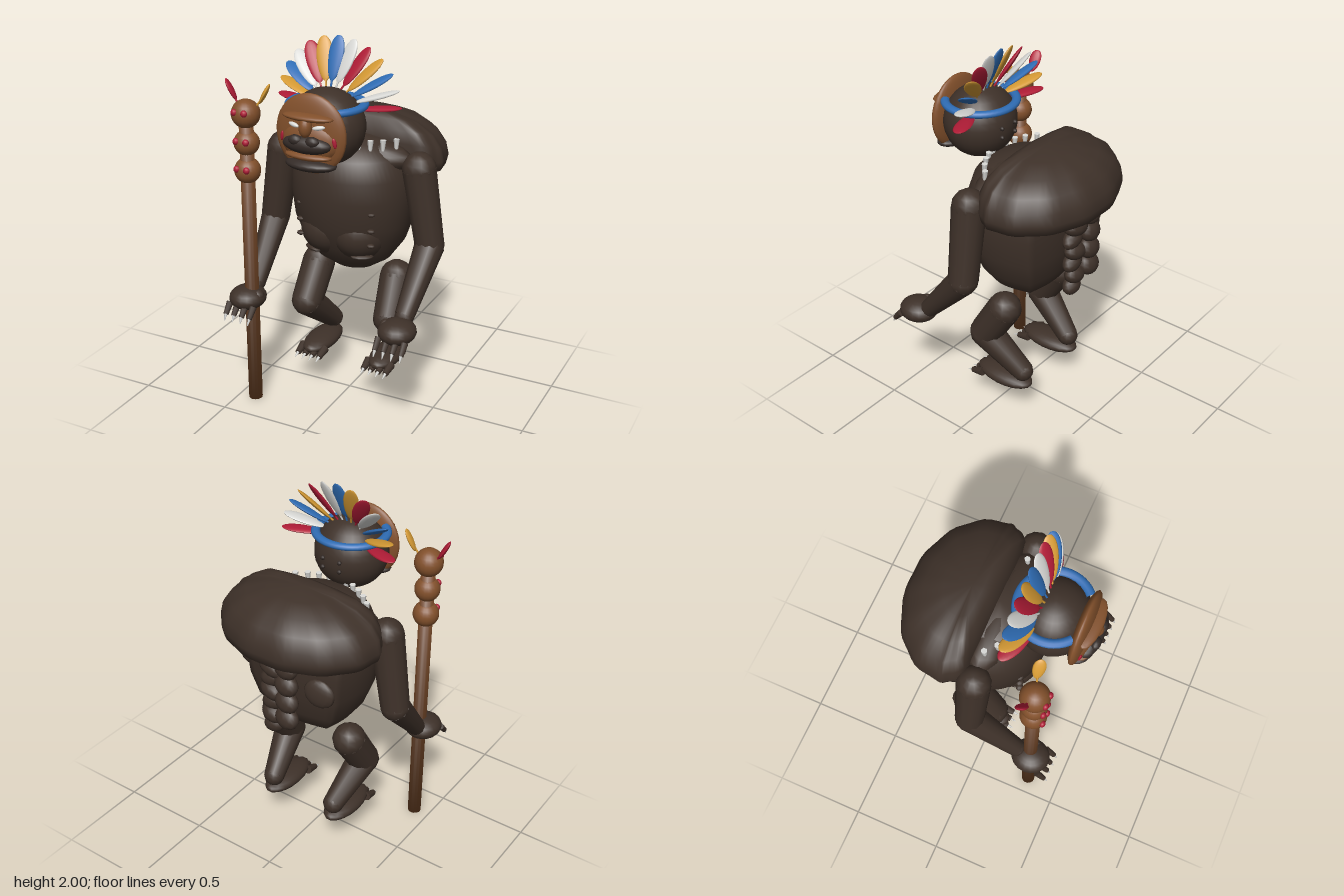
import * as THREE from 'three';
import { mergeVertices } from 'three/addons/utils/BufferGeometryUtils.js';

const mat = (name, color) => {
  const m = new THREE.MeshStandardMaterial({ color });
  m.name = name;
  return m;
};

export function createModel() {
  const fur = mat('dark fur', 0x3e3129);
  const tan = mat('brown skin', 0x82502b);
  const wood = mat('staff wood', 0x784a29);
  const dark = mat('dark muzzle', 0x342b27);
  const blue = mat('blue', 0x2f6db5);
  const red = mat('red', 0xb01c36);
  const gold = mat('gold', 0xd59a34);
  const white = mat('white', 0xd9d9d6);

  const model = new THREE.Group();
  model.name = 'shaman';
  const part = (name) => {
    const g = new THREE.Group();
    g.name = name;
    model.add(g);
    return g;
  };
  const add = (parent, name, geo, m, pos = [0, 0, 0], rot = [0, 0, 0]) => {
    const mesh = new THREE.Mesh(geo, m);
    mesh.name = name;
    mesh.position.set(...pos);
    mesh.rotation.set(...rot);
    parent.add(mesh);
    return mesh;
  };
  const blob = (parent, name, m, pos, size, rot, seg = 18) =>
    add(parent, name, new THREE.SphereGeometry(1, seg, Math.ceil(seg * 0.65)).scale(...size), m, pos, rot);

  // Tapered cylinder between two points
  const bone = (parent, name, m, a, b, ra, rb, sides = 12) => {
    const A = new THREE.Vector3(...a), B = new THREE.Vector3(...b), d = B.clone().sub(A);
    const mesh = add(parent, name, new THREE.CylinderGeometry(rb, ra, d.length(), sides), m);
    mesh.position.copy(A).add(B).multiplyScalar(0.5);
    mesh.quaternion.setFromUnitVectors(new THREE.Vector3(0, 1, 0), d.normalize());
    return mesh;
  };
  const limb = (parent, name, pts, radii) => pts.forEach((p, i) => {
    blob(parent, name + 'Joint', fur, p, [radii[i], radii[i], radii[i]], [0, 0, 0], 12);
    if (i) bone(parent, name, fur, pts[i - 1], p, radii[i - 1], radii[i]);
  });
  // Lathe whose rings are reshaped by a rule
  const warped = (profile, rule) => {
    const geo = new THREE.LatheGeometry(profile.map(([r, y]) => new THREE.Vector2(r, y)), 64);
    const p = geo.attributes.position;
    for (let i = 0; i < p.count; i++) p.setXYZ(i, ...rule(p.getX(i), p.getY(i), p.getZ(i)));
    geo.deleteAttribute('normal');
    geo.deleteAttribute('uv');
    const smooth = mergeVertices(geo, 1e-4);
    smooth.computeVertexNormals();
    return smooth;
  };
  // Push a circle point toward a square; k = 0 keeps it round
  const square = (x, z, k) => {
    const r = Math.hypot(x, z) || 1, m = Math.max(Math.abs(x), Math.abs(z)) / r || 1;
    const s = 1 + k * (1 / m - 1);
    return [x * s, z * s];
  };

  // Torso: round belly, squarer back
  const torso = part('torso');
  add(torso, 'body', warped(
    [[0, 0.72], [0.11, 0.74], [0.2, 0.8], [0.265, 0.89], [0.31, 1.02], [0.327, 1.17],
      [0.318, 1.28], [0.28, 1.38], [0.19, 1.45], [0, 1.48]],
    (x, y, z) => {
      const [sx, sz] = z < 0 ? square(x, z, 0.5) : [x, z];
      return [sx, y, sz * (z < 0 ? 0.9 : 0.82) - 0.03 - 0.1 * Math.max(0, 1.05 - y)];
    }), fur);
  blob(torso, 'shoulders', fur, [0, 1.37, -0.01], [0.34, 0.1, 0.12]);
  for (const s of [-1, 1]) {
    blob(torso, 'bellyLobe', fur, [s * 0.085, 0.98, 0.03], [0.16, 0.16, 0.185], [0, 0, 0], 24);
    for (const y of [0.95, 1.03, 1.12])
      blob(torso, 'furTuft', fur, [s * 0.2, y, 0.165], [0.022, 0.012, 0.02], [0, 0, 0], 8);
    blob(torso, 'furRoll', fur, [s * 0.14, 0.87, 0.14], [0.06, 0.014, 0.03], [0, s * 0.5, 0], 10);
  }

  // Broad domed pelt over the upper back
  add(part('backPelt'), 'pelt', warped(
    [[0, 1.3], [0.6, 1.3], [0.88, 1.28], [0.97, 1.29], [1, 1.34], [0.97, 1.4], [0.87, 1.465],
      [0.68, 1.52], [0.4, 1.555], [0, 1.57]],
    (x, y, z) => {
      const [sx, sz] = z > 0 ? square(x, z, 0.5) : [x, z];
      const wave = 1 + 0.01 * Math.sin(Math.atan2(z, x) * 13);
      const lift = y > 1.38 && z > 0 ? 0.05 * z : 0;
      return [sx * 0.447 * wave, y + lift, -0.17 + sz * (z > 0 ? 0.138 : 0.342) * wave];
    }), fur);

  // Hanging braid with two rows of lobes, and a flat disc on the back
  const braid = part('braid');
  for (let i = 0; i < 7; i++)
    blob(braid, 'braidLobe', fur, [0.035, 1.27 - i * 0.07, -0.37 - (i % 2) * 0.015],
      [0.085 - i * 0.004, 0.047, 0.042], [0.35, 0, i % 2 ? 0.3 : -0.3], 12);
  for (let i = 0; i < 4; i++)
    blob(braid, 'outerLobe', fur, [-0.065, 1.24 - i * 0.1, -0.4], [0.07, 0.058, 0.042], [0.3, 0, 0.3], 12);
  blob(braid, 'backDisc', fur, [-0.2, 1.09, -0.312], [0.085, 0.075, 0.03], [0.1, 0.15, 0.3], 14);

  // Arms, legs, fingers and toes with claws
  for (const s of [-1, 1]) {
    const side = s > 0 ? 'left' : 'right';
    const arm = part(side + 'Arm');
    limb(arm, 'arm', [[s * 0.385, 1.34, 0], [s * 0.45, 0.94, -0.005], [s * 0.43, 0.65, 0.25]], [0.088, 0.077, 0.05]);
    blob(arm, 'hand', fur, [s * 0.43, 0.605, 0.335], [0.097, 0.062, 0.105]);
    blob(arm, 'thumb', fur, [s * 0.365, 0.62, 0.335], [0.03, 0.037, 0.035], [0, 0, 0], 10);
    const leg = part(side + 'Leg');
    limb(leg, 'leg', [[s * 0.232, 0.685, -0.09], [s * 0.245, 0.49, 0.03], [s * 0.2, 0.3, -0.185]], [0.09, 0.085, 0.057]);
    blob(leg, 'foot', fur, [s * 0.2, 0.225, -0.065], [0.085, 0.045, 0.175]);
    for (let i = 0; i < 4; i++) {
      const fx = s * (0.36 + i * 0.047);
      bone(arm, 'finger', fur, [fx, 0.585, 0.4], [fx, 0.535, 0.445], 0.019, 0.014, 8);
      bone(arm, 'claw', white, [fx, 0.54, 0.442], [fx, 0.505, 0.462], 0.01, 0.002, 6);
      const tx = s * (0.135 + i * 0.043);
      bone(leg, 'toe', fur, [tx, 0.22, 0.04], [tx, 0.2, 0.11], 0.025, 0.016, 8);
      bone(leg, 'claw', white, [tx, 0.202, 0.105], [tx, 0.188, 0.145], 0.01, 0.001, 6);
    }
  }

  // Tooth necklace
  const necklace = part('necklace');
  for (let i = -5; i <= 5; i++) {
    const x = i * 0.052, z = 0.13 - 1.9 * x * x;
    bone(necklace, 'tooth', white, [x, 1.478, z], [x, 1.4, z + 0.005], 0.016, 0.006, 6);
  }

  // Head and face
  const head = part('head');
  blob(head, 'skull', fur, [0, 1.58, 0.25], [0.195, 0.19, 0.185], [0, 0, 0], 26);
  blob(head, 'faceMask', tan, [0, 1.585, 0.405], [0.188, 0.197, 0.042], [0, 0, 0], 26);
  blob(head, 'cheeks', tan, [0, 1.55, 0.41], [0.155, 0.11, 0.06]);
  blob(head, 'brow', tan, [0, 1.675, 0.437], [0.135, 0.02, 0.05]);
  blob(head, 'noseBridge', tan, [0, 1.63, 0.46], [0.032, 0.05, 0.035]);
  blob(head, 'muzzle', dark, [0, 1.545, 0.45], [0.128, 0.046, 0.052]);
  blob(head, 'lowerLip', tan, [0, 1.485, 0.435], [0.125, 0.022, 0.05]);
  blob(head, 'jaw', dark, [0, 1.435, 0.41], [0.135, 0.033, 0.075]);
  for (const s of [-1, 1]) {
    blob(head, 'nostril', dark, [s * 0.045, 1.57, 0.48], [0.036, 0.026, 0.024], [0, 0, 0], 12);
    blob(head, 'eye', white, [s * 0.066, 1.634, 0.453], [0.032, 0.011, 0.012], [0, s * 0.25, s * 0.15], 12);
    blob(head, 'cheekPaint', red, [s * 0.14, 1.565, 0.437], [0.01, 0.026, 0.006], [0, s * 0.5, s * 0.2], 10);
    for (const y of [1.55, 1.6])
      blob(head, 'bead', dark, [s * 0.05, y, 0.067], [0.012, 0.012, 0.012], [0, 0, 0], 8);
  }

  // Feather headdress: blue band open at the face, and a fan in four repeating colours
  const crown = part('headdress');
  add(crown, 'band', new THREE.TorusGeometry(0.182, 0.024, 10, 40, Math.PI * 1.56)
    .rotateZ(Math.PI * 0.72).rotateX(Math.PI / 2).scale(1, 0.75, 0.97), blue, [0, 1.69, 0.245]);
  const feather = (len, w) => {
    const geo = new THREE.SphereGeometry(1, 12, 12);
    const p = geo.attributes.position;
    for (let i = 0; i < p.count; i++) {
      const t = 0.9 + 0.15 * p.getY(i);
      p.setXYZ(i, p.getX(i) * w * t, p.getY(i) * len, p.getZ(i) * 0.012);
    }
    geo.computeVertexNormals();
    return geo;
  };
  const cycle = [blue, white, red, gold];
  for (let i = -6; i <= 6; i++) {
    const a = i * 0.255, m = cycle[(i + 8) % 4];
    const twist = Math.sign(i) * Math.min(Math.abs(a) * 1.15, 1.55);
    const f = new THREE.Group();
    f.name = 'feather';
    f.position.set(Math.sin(a) * 0.1, 1.66 + Math.cos(a) * 0.1, 0.205);
    f.rotation.set(-0.38, -twist, -a, 'ZXY');
    add(f, 'vane', feather(0.112, 0.045), m, [0, 0.142, 0]);
    add(f, 'quill', new THREE.CylinderGeometry(0.005, 0.005, 0.06, 6), m, [0, 0.03, 0]);
    crown.add(f);
  }

  // Staff with three stacked heads; the pole's shading rounds over its ends
  const staff = part('staff');
  const X = -0.41, Z = 0.325;
  const pole = new THREE.CylinderGeometry(0.037, 0.037, 1.6, 14);
  const pp = pole.attributes.position, n = new THREE.Vector3();
  for (let i = 0; i < pp.count; i++) {
    n.set(pp.getX(i) / 0.037, Math.sign(pp.getY(i)), pp.getZ(i) / 0.037).normalize();
    pole.attributes.normal.setXYZ(i, n.x, n.y, n.z);
  }
  add(staff, 'pole', pole, wood, [X, 0.8, Z]);
  for (const [y, r] of [[1.31, 0.068], [1.455, 0.066], [1.605, 0.074]]) {
    blob(staff, 'staffHead', tan, [X, y, Z], [r, r, r], [0, 0, 0], 20);
    for (const s of [-1, 1])
      blob(staff, 'staffEye', red, [X + s * 0.028, y + 0.018, Z + r * 0.85], [0.018, 0.018, 0.015], [0, 0, 0], 10);
  }
  for (const s of [-1, 1]) {
    const m = s < 0 ? red : gold;
    bone(staff, 'staffQuill', m, [X + s * 0.05, 1.64, Z - 0.015], [X + s * 0.09, 1.7, Z - 0.025], 0.005, 0.005, 6);
    add(staff, 'staffFeather', feather(0.06, 0.034), m,
      [X + s * 0.096, 1.71, Z - 0.025], [0, s < 0 ? -1.25 : 1.9, -s * 0.52]).rotation.order = 'ZXY';
  }
  return model;
}
